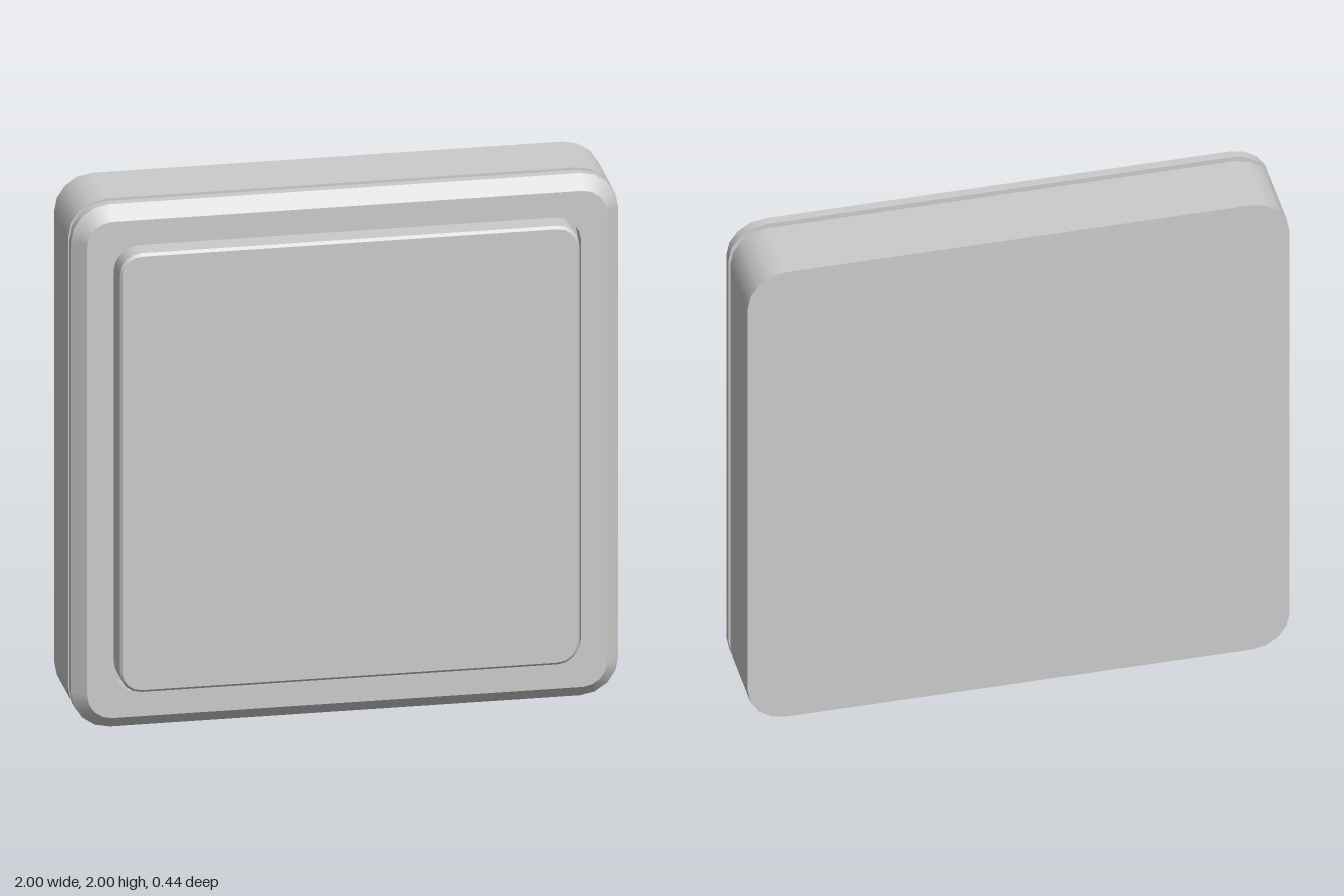
import * as THREE from 'three';

const material = new THREE.MeshStandardMaterial({ color: 0xcccccc });
const STEPS = 4; // facets per rounded corner

// Outline of a rounded square, with the outward angle at each point
function roundedSquare(half, radius) {
  const points = [];
  for (let corner = 0; corner < 4; corner++) {
    const mid = (corner + 0.5) * Math.PI / 2;
    const cx = Math.sign(Math.cos(mid)) * (half - radius);
    const cy = Math.sign(Math.sin(mid)) * (half - radius);
    for (let s = 0; s <= STEPS; s++) {
      const t = (corner + s / STEPS) * Math.PI / 2;
      points.push({ x: cx + radius * Math.cos(t), y: cy + radius * Math.sin(t), t });
    }
  }
  return points;
}

// Lofts [half size, corner radius, z] sections, with sharp edges between sections
// and smooth corners; a half size of 0 closes an end
function loft(name, sections) {
  const position = [], normal = [], index = [];
  for (let k = 0; k + 1 < sections.length; k++) {
    const [a, b] = [sections[k], sections[k + 1]];
    const dr = b[0] - a[0], dz = b[2] - a[2], len = Math.hypot(dr, dz);
    const start = position.length / 3;
    const n = (STEPS + 1) * 4;
    for (const [half, radius, z] of [a, b]) {
      for (const { x, y, t } of roundedSquare(half, radius)) {
        position.push(x, y, z);
        normal.push(Math.cos(t) * dz / len, Math.sin(t) * dz / len, -dr / len);
      }
    }
    for (let i = 0; i < n; i++) {
      const j = (i + 1) % n;
      const [ai, aj, bi, bj] = [start + i, start + j, start + n + i, start + n + j];
      if (a[0] > 0) index.push(ai, aj, bj);
      if (b[0] > 0) index.push(ai, bj, bi);
    }
  }
  const geometry = new THREE.BufferGeometry();
  geometry.setAttribute('position', new THREE.Float32BufferAttribute(position, 3));
  geometry.setAttribute('normal', new THREE.Float32BufferAttribute(normal, 3));
  geometry.setIndex(index);
  const mesh = new THREE.Mesh(geometry, material);
  mesh.name = name;
  mesh.position.y = 1;
  return mesh;
}

export function createModel() {
  const group = new THREE.Group();
  group.name = 'wallSwitch';

  // Deep housing at the back
  group.add(loft('housing', [
    [0, 0, -0.22], [1, 0.14, -0.22], [1, 0.14, 0.05], [0, 0, 0.05],
  ]));

  // Recessed neck that leaves a thin shadow gap
  group.add(loft('shadowGapNeck', [[0.97, 0.11, 0.05], [0.97, 0.11, 0.075]]));

  // Bevelled front frame with a shallow well for the rocker
  group.add(loft('frame', [
    [0, 0, 0.075], [1, 0.14, 0.075], [1, 0.14, 0.11], [0.95, 0.09, 0.16],
    [0.855, 0.095, 0.16], [0.855, 0.095, 0.085], [0, 0, 0.085],
  ]));

  // Rocker plate with a fine bevelled edge
  group.add(loft('rocker', [
    [0.84, 0.08, 0.085], [0.84, 0.08, 0.205], [0.83, 0.07, 0.215], [0, 0, 0.215],
  ]));

  return group;
}
